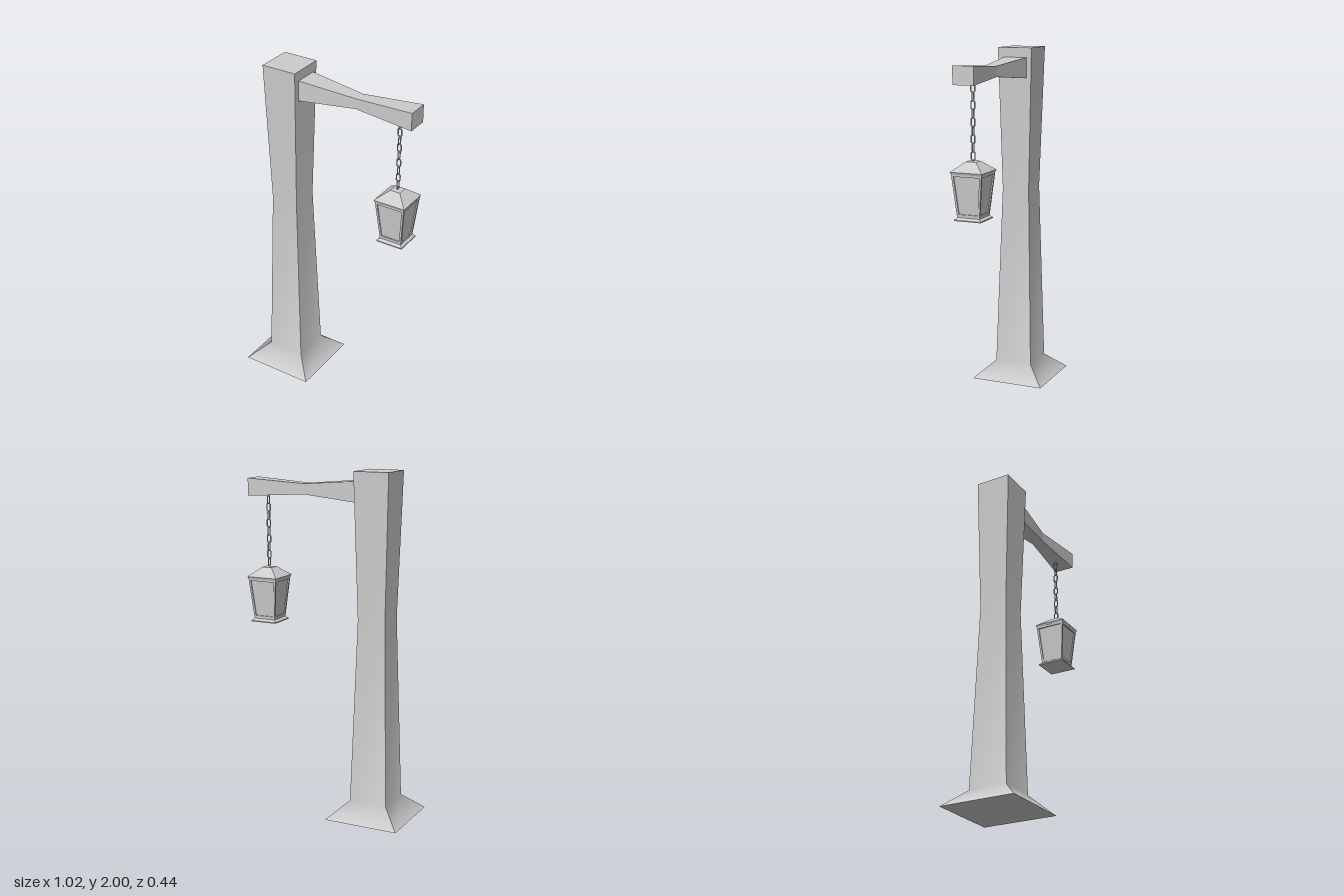
import * as THREE from 'three';

const grey = new THREE.MeshStandardMaterial({ color: 0xcccccc });
const greyFlat = new THREE.MeshStandardMaterial({ color: 0xcccccc, flatShading: true });

// Closed rectangular loft through sections [y, halfX, halfZ]; smooth lengthwise, sharp at corners
function loft(sections) {
  const corners = [[1, 1], [1, -1], [-1, -1], [-1, 1]];
  const pos = [], idx = [];
  const add = ([y, hx, hz = hx], c) => pos.push(c[0] * hx, y, c[1] * hz) / 3 - 1;
  for (let k = 0; k < 4; k++) {
    const start = pos.length / 3;
    for (const s of sections) {
      add(s, corners[k]);
      add(s, corners[(k + 1) % 4]);
    }
    for (let i = 0; i < sections.length - 1; i++) {
      const a = start + i * 2;
      idx.push(a, a + 1, a + 3, a, a + 3, a + 2);
    }
  }
  const b = corners.map((c) => add(sections[0], c));
  const t = corners.map((c) => add(sections[sections.length - 1], c));
  idx.push(b[0], b[2], b[1], b[0], b[3], b[2], t[0], t[1], t[2], t[0], t[2], t[3]);
  const g = new THREE.BufferGeometry();
  g.setAttribute('position', new THREE.Float32BufferAttribute(pos, 3));
  g.setIndex(idx);
  g.computeVertexNormals();
  return g;
}

function part(parent, name, geometry, material = greyFlat) {
  const m = new THREE.Mesh(geometry, material);
  m.name = name;
  parent.add(m);
  return m;
}

// Trapezoid outline standing on y = y0
function trapezoid(Type, y0, y1, h0, h1) {
  return new Type([[-h0, y0], [h0, y0], [h1, y1], [-h1, y1]].map((p) => new THREE.Vector2(...p)));
}

// Chain link: a rounded long loop of thin wire
function linkGeometry() {
  const w = 0.011, h = 0.0235, c = 0.007;
  const pts = [[w, -h + c], [w, h - c], [w - c, h], [c - w, h], [-w, h - c], [-w, c - h], [c - w, -h], [w - c, -h]];
  const path = new THREE.CurvePath();
  pts.forEach((p, i) => {
    const q = pts[(i + 1) % pts.length];
    path.add(new THREE.LineCurve3(new THREE.Vector3(...p, 0), new THREE.Vector3(...q, 0)));
  });
  return new THREE.TubeGeometry(path, 40, 0.0038, 6, true);
}

export function createModel() {
  const model = new THREE.Group();
  model.name = 'lampPost';

  // Waisted post with flared foot
  const post = part(model, 'post', loft([[0, 0.222], [0.1, 0.113], [1.17, 0.083], [2, 0.105]]), grey);
  post.position.set(-0.288, 0, 0);

  // Cross arm, narrowed in the middle
  const arm = part(model, 'arm', loft([[-0.195, 0.06, 0.071], [0.157, 0.03, 0.036], [0.509, 0.051, 0.062]]));
  arm.rotation.z = -Math.PI / 2;
  arm.position.set(0, 1.885, -0.003);

  // Chain and lantern hang from the outer end
  const hanging = new THREE.Group();
  hanging.name = 'hangingLantern';
  hanging.position.set(0.404, 0, -0.01);
  model.add(hanging);

  const link = linkGeometry();
  for (let i = 0; i < 9; i++) {
    const m = part(hanging, 'chainLink', link, grey);
    m.position.y = 1.813 - i * 0.0455;
    m.rotation.y = i % 2 ? 0 : Math.PI / 2;
  }

  part(hanging, 'lanternRoof', loft([[1.356, 0.09], [1.368, 0.095], [1.42, 0.03]]));
  part(hanging, 'lanternBase', loft([[1.1, 0.08], [1.106, 0.08], [1.118, 0.066], [1.128, 0.066]]));
  part(hanging, 'lanternPanes', loft([[1.122, 0.061], [1.357, 0.082]]));

  // Four leaning frames around the panes
  const bottom = 0.067, top = 0.09, rise = 0.236;
  const length = Math.hypot(rise, top - bottom);
  const outline = trapezoid(THREE.Shape, 0, length, bottom, top);
  outline.holes.push(trapezoid(THREE.Path, 0.014, length - 0.014, bottom - 0.011, top - 0.013));
  const frame = new THREE.ExtrudeGeometry(outline, { depth: 0.008, bevelEnabled: false });
  frame.translate(0, 0, -0.008);
  frame.rotateX(Math.atan2(top - bottom, rise));
  frame.translate(0, 1.122, bottom);
  for (let k = 0; k < 4; k++) {
    part(hanging, 'lanternFrame', frame).rotation.y = (k * Math.PI) / 2;
  }

  return model;
}
